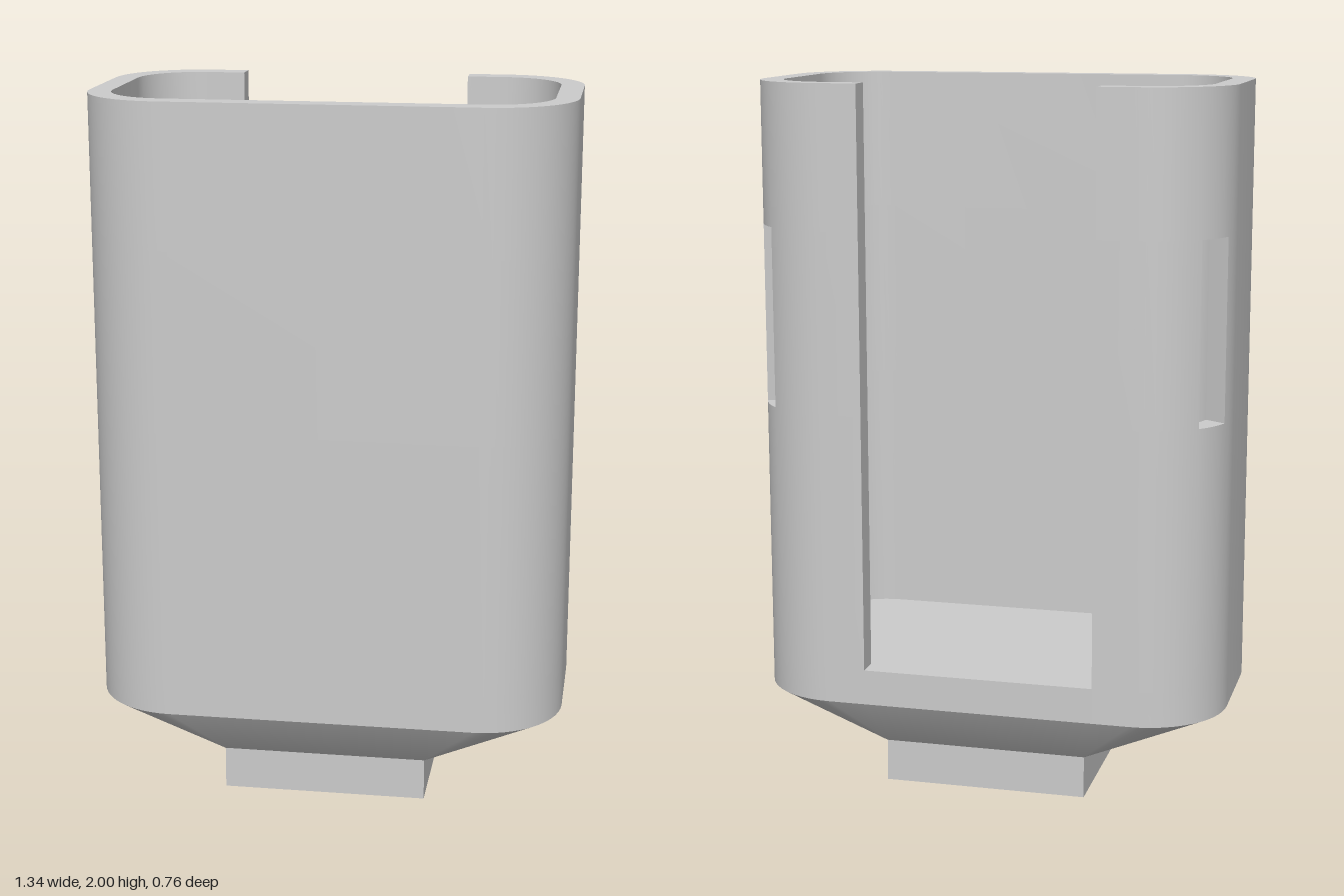
import * as THREE from 'three';
import { toCreasedNormals } from 'three/addons/utils/BufferGeometryUtils.js';

const HX = 0.672, HZ = 0.379, R = 0.236, WALL = 0.065;
const CX = HX - R, CZ = HZ - R, RI = R - WALL;
const SLOT = 0.329, STEM = 0.29, STEM_TOP = 0.12;
const LEVELS = [0.255, 0.356, 1.09, 1.6, 2]; // body bottom, floor, window bottom, window top, rim

// Paired outer / inner wall points of one half, from the back slot edge round to the front
function halfSection() {
  const pts = [{ o: [SLOT, -HZ], i: [SLOT, -HZ + WALL] }];
  const arc = (o0, o1, i0, i1, n, cz, first, window) => {
    for (let k = first; k <= n; k++) {
      const at = (a, b, r) => {
        const t = THREE.MathUtils.degToRad(a + (b - a) * k / n);
        return [CX + r * Math.cos(t), cz - r * Math.sin(t)];
      };
      // window flags the segment that ends at this point
      pts.push({ o: at(o0, o1, R), i: at(i0, i1, RI), window });
    }
  };
  arc(90, 45, 90, 50.3, 6, -CZ, 0, false);
  arc(45, 19, 50.3, 13.7, 4, -CZ, 1, true);
  arc(19, 0, 13.7, 0, 3, -CZ, 1, false);
  arc(0, -90, 0, -90, 13, CZ, 0, false);
  return pts;
}

// Full loop, with one entry per wall segment
function buildSegments() {
  const half = halfSection();
  const flip = ([x, z]) => [-x, z];
  const pts = [...half, ...half.map(p => ({ o: flip(p.o), i: flip(p.i) })).reverse()];
  const n = half.length, total = pts.length;
  return pts.map((p, k) => ({
    p, q: pts[(k + 1) % total],
    slot: k === total - 1,
    window: k < n - 1 ? !!half[k + 1].window : k >= n && k < total - 1 && !!half[total - 1 - k].window,
  }));
}

function quadGeometry(build) {
  const v = [];
  build((a, b, c, d) => v.push(...a, ...b, ...c, ...a, ...c, ...d),
    (a, b, c) => v.push(...a, ...b, ...c));
  const g = new THREE.BufferGeometry();
  g.setAttribute('position', new THREE.Float32BufferAttribute(v, 3));
  return toCreasedNormals(g, Math.PI / 6);
}

const at = ([x, z], y) => [x, y, z];

// Wall with the open back slot and the two corner windows
function wallGeometry(segs) {
  const n = segs.length;
  const solid = (k, j) => {
    const s = segs[(k + n) % n];
    if (j < 0 || j > 3) return false;
    return j === 0 || !(s.slot || (s.window && j === 2));
  };
  return quadGeometry(quad => {
    segs.forEach(({ p, q }, k) => {
      for (let j = 0; j < 4; j++) {
        if (!solid(k, j)) continue;
        const b = LEVELS[j], t = LEVELS[j + 1];
        quad(at(p.o, b), at(p.o, t), at(q.o, t), at(q.o, b));
        if (j > 0) quad(at(q.i, b), at(q.i, t), at(p.i, t), at(p.i, b));
        if (!solid(k, j + 1)) quad(at(p.o, t), at(p.i, t), at(q.i, t), at(q.o, t));
        if (j > 0 && !solid(k, j - 1)) quad(at(q.o, b), at(q.i, b), at(p.i, b), at(p.o, b));
        if (!solid(k - 1, j)) quad(at(p.o, b), at(p.i, b), at(p.i, t), at(p.o, t));
        if (!solid(k + 1, j)) quad(at(q.o, t), at(q.i, t), at(q.i, b), at(q.o, b));
      }
    });
  });
}

// Taper from the rounded body down to the square stem
function taperGeometry(segs) {
  const corner = ([x, z]) => [Math.sign(x) * STEM, STEM_TOP, Math.sign(z) * STEM];
  return quadGeometry((quad, tri) => {
    segs.forEach(({ p, q }) => {
      const a = corner(p.o), d = corner(q.o);
      const b = at(p.o, LEVELS[0]), c = at(q.o, LEVELS[0]);
      if (Math.hypot(b[0] - c[0], b[2] - c[2]) < 1e-6) return;
      if (a[0] === d[0] && a[2] === d[2]) tri(a, b, c);
      else quad(a, b, c, d);
    });
  });
}

export function createModel() {
  const group = new THREE.Group();
  group.name = 'holder';
  const material = new THREE.MeshStandardMaterial({ color: 0xcccccc });
  const add = (name, geometry) => {
    const mesh = new THREE.Mesh(geometry, material);
    mesh.name = name;
    group.add(mesh);
    return mesh;
  };
  const segs = buildSegments();

  add('wall', wallGeometry(segs));
  add('taper', taperGeometry(segs));

  // Inner floor, level with the bottom of the slot
  const outline = new THREE.Shape(segs.map(s => new THREE.Vector2(s.p.i[0], -s.p.i[1])));
  add('floor', new THREE.ShapeGeometry(outline).rotateX(-Math.PI / 2)).position.y = LEVELS[1];

  add('stem', new THREE.BoxGeometry(2 * STEM, STEM_TOP, 2 * STEM)).position.y = STEM_TOP / 2;
  return group;
}
